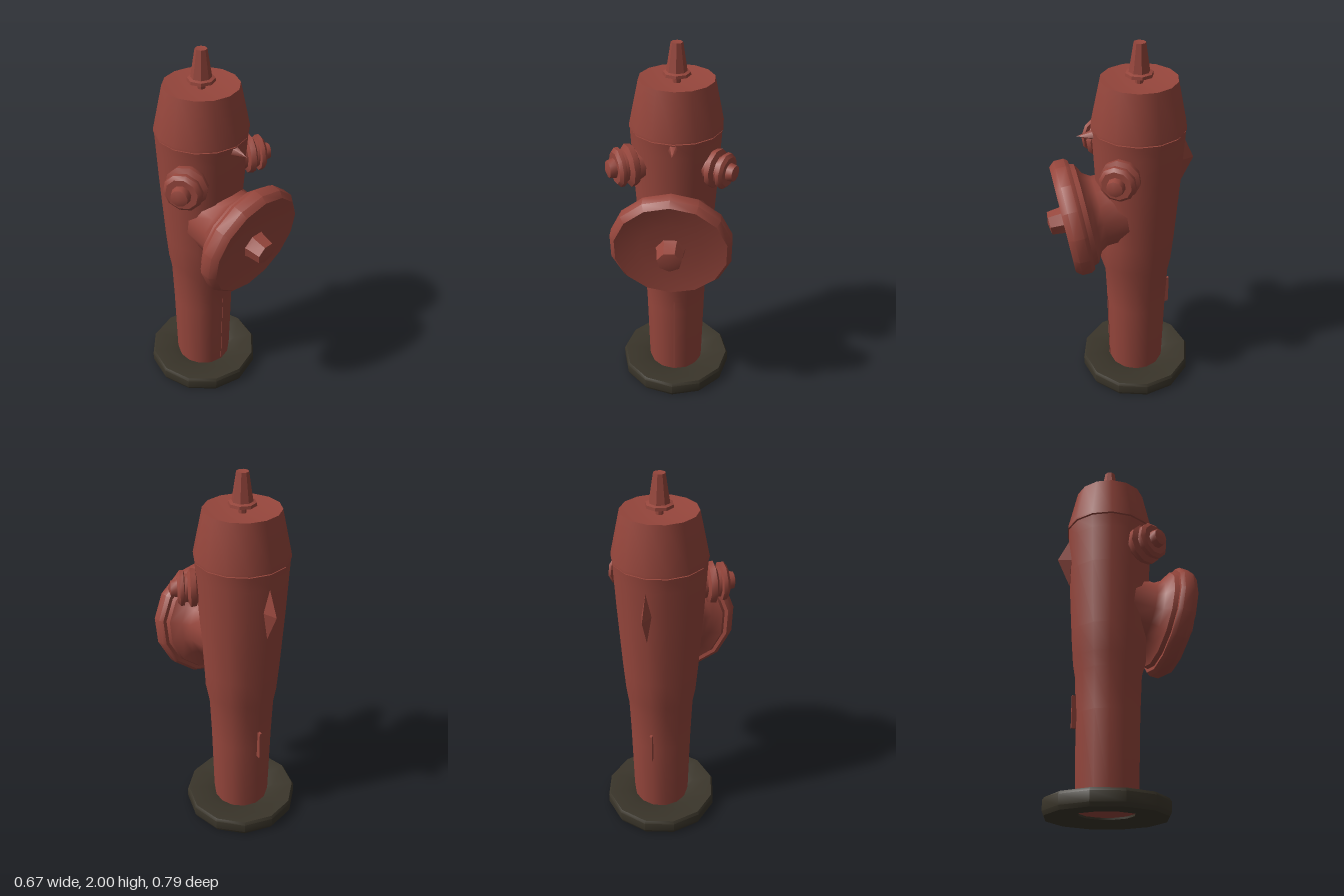
import * as THREE from 'three';
import { toCreasedNormals } from 'three/addons/utils/BufferGeometryUtils.js';

const CX = 0.008, CZ = -0.079;
const UP = new THREE.Vector3(0, 1, 0);

// Revolves [radius, height] points, keeping hard edges sharp.
function turned(points, sides, crease = 0.7) {
  const geo = new THREE.LatheGeometry(points.map(([r, y]) => new THREE.Vector2(r, y)), sides);
  return toCreasedNormals(geo, crease);
}

export function createModel() {
  const model = new THREE.Group();
  model.name = 'hydrant';
  const red = new THREE.MeshStandardMaterial({ color: 0x96463c });
  red.name = 'faded red paint';
  const dark = new THREE.MeshStandardMaterial({ color: 0x3a352a });
  dark.name = 'dark base';

  function add(name, geo, material, x, y, z, parent = model) {
    const mesh = new THREE.Mesh(geo, material);
    mesh.name = name;
    mesh.position.set(x, y, z);
    parent.add(mesh);
    return mesh;
  }

  // Ground ring, open in the middle, with sloping inner faces
  add('baseRing', turned([
    [0.14, 0.02], [0.19, 0], [0.305, 0], [0.315, 0.02], [0.315, 0.07],
    [0.305, 0.085], [0.2, 0.08], [0.14, 0.06], [0.14, 0.02],
  ], 12, 0.6), dark, CX, 0, CZ);

  // Barrel, swelling forward just under the main outlet
  const barrelGeo = new THREE.LatheGeometry([
    [0, 0.03], [0.15, 0.03], [0.157, 0.09], [0.166, 0.5], [0.174, 0.72], [0.188, 0.8],
    [0.2, 0.95], [0.222, 1.3], [0.232, 1.5], [0.236, 1.575], [0, 1.575],
  ].map(([r, y]) => new THREE.Vector2(r, y)), 14);
  const p = barrelGeo.attributes.position;
  for (let i = 0; i < p.count; i++) {
    const lift = Math.max(0, 1 - Math.abs(p.getY(i) - 0.8) / 0.1);
    if (p.getZ(i) > 0.1) p.setZ(i, p.getZ(i) + 0.012 * lift);
  }
  add('barrel', toCreasedNormals(barrelGeo, 0.7), red, CX, 0, CZ);

  // Tapered cap with a shallow dished top
  add('cap', turned([
    [0, 1.582], [0.24, 1.582], [0.24, 1.595], [0.19, 1.825], [0, 1.8],
  ], 14), red, CX, 0, CZ);

  // Operating nut on the cap
  add('topNut', turned([
    [0.02, 1.79], [0.02, 1.84], [0.07, 1.84], [0.068, 1.855], [0.052, 1.86], [0.03, 2], [0, 1.995],
  ], 8), red, CX, 0, CZ);

  // Large front outlet, tipped slightly downward
  const mainOutlet = new THREE.Group();
  mainOutlet.name = 'mainOutlet';
  mainOutlet.position.set(CX, 1.08, 0.265);
  mainOutlet.quaternion.setFromUnitVectors(UP, new THREE.Vector3(0, -0.16, 0.987).normalize());
  model.add(mainOutlet);
  add('outletNeck', turned([
    [0.19, -0.29], [0.19, -0.14], [0.215, -0.1], [0.27, -0.07], [0.28, -0.03], [0.2, -0.02],
  ], 14), red, 0, 0, 0, mainOutlet);
  add('outletCover', turned([
    [0.2, -0.045], [0.295, -0.045], [0.31, -0.025], [0.31, 0.025], [0.285, 0.055],
    [0.16, 0.035], [0, 0.045],
  ], 14), red, 0, 0, 0, mainOutlet);
  add('outletNut', turned([
    [0.08, 0.03], [0.07, 0.06], [0.062, 0.125], [0, 0.135],
  ], 7), red, 0, 0, 0, mainOutlet);

  // Two small hose outlets, angled outward and forward
  const hoseGeo = turned([
    [0.08, -0.1], [0.08, -0.01], [0.105, 0], [0.11, 0.03], [0.08, 0.045], [0.08, 0.06],
    [0.1, 0.065], [0.1, 0.085], [0.082, 0.1], [0.05, 0.1], [0.044, 0.135], [0, 0.15],
  ], 10);
  for (const [name, side, size] of [['leftHoseOutlet', 1, 0.92], ['rightHoseOutlet', -1, 1]]) {
    const mesh = add(name, hoseGeo, red, side * 0.2, 1.41, 0.045);
    mesh.quaternion.setFromUnitVectors(UP, new THREE.Vector3(side * 0.88, 0, 0.47).normalize());
    mesh.scale.setScalar(size);
  }

  // Small lug under the cap at the front
  const lug = add('frontLug', new THREE.ConeGeometry(0.035, 0.11, 5), red, CX, 1.55, 0.175);
  lug.rotation.x = Math.PI / 2;

  // Seam ridges on the front and back of the barrel
  const frontSeam = add('frontSeam', new THREE.BoxGeometry(0.012, 0.5, 0.02), red, CX, 0.33, 0.075);
  frontSeam.rotation.x = 0.02;
  const backBump = add('backBump', new THREE.OctahedronGeometry(1), red, CX, 1.37, -0.3);
  backBump.scale.set(0.025, 0.15, 0.07);
  add('backSeam', new THREE.BoxGeometry(0.014, 0.17, 0.03), red, CX, 0.515, -0.252);

  return model;
}
